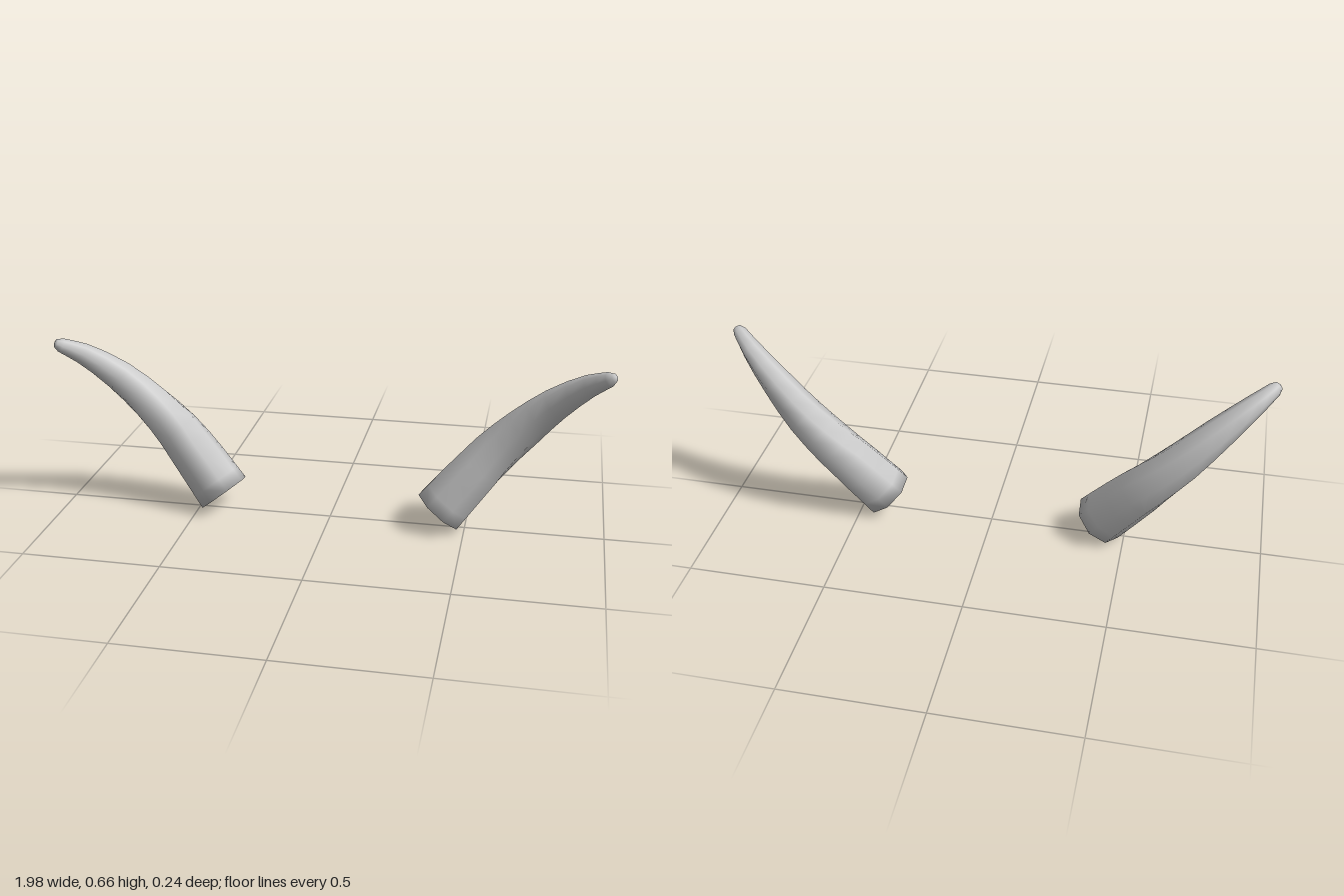
import * as THREE from 'three';

const SIDES = 8;

// Horn centre line (x, y, z) and radius, from base to tip
const STATIONS = [
  [0.405, 0.07, 0.005, 0.1],
  [0.51, 0.2, -0.022, 0.093],
  [0.595, 0.3, -0.038, 0.084],
  [0.69, 0.4, -0.034, 0.073],
  [0.787, 0.5, -0.008, 0.059],
  [0.895, 0.595, 0.045, 0.041],
  [0.967, 0.647, 0.1, 0.026],
];
const STEPS = [0, 0.05, 0.14, 0.23, 0.32, 0.41, 0.5, 0.59, 0.68, 0.77, 0.86, 0.94, 1];

// Curved tapering horn; side is +1 for the left one, -1 for the right one
function hornGeometry(side) {
  const path = new THREE.CatmullRomCurve3(
    STATIONS.map(([x, y, z]) => new THREE.Vector3(side * x, y, z)));
  const positions = [], index = [];
  const up = new THREE.Vector3(0, 1, 0);

  const addRing = (centre, axis, radius) => {
    const u = up.clone().addScaledVector(axis, -up.dot(axis)).normalize();
    const v = axis.clone().cross(u);
    for (let j = 0; j < SIDES; j++) {
      const a = (j / SIDES) * Math.PI * 2;
      const p = centre.clone()
        .addScaledVector(u, Math.cos(a) * radius)
        .addScaledVector(v, Math.sin(a) * radius);
      positions.push(p.x, p.y, p.z);
    }
  };

  for (const t of STEPS) {
    const s = t * (STATIONS.length - 1);
    const k = Math.min(Math.floor(s), STATIONS.length - 2);
    const radius = THREE.MathUtils.lerp(STATIONS[k][3], STATIONS[k + 1][3], s - k);
    addRing(path.getPoint(t), path.getTangent(t), radius);
  }

  // Blunt rounded tip
  const end = path.getPoint(1), axis = path.getTangent(1);
  addRing(end.clone().addScaledVector(axis, 0.02), axis, 0.016);
  const rings = STEPS.length + 1;
  const base = path.getPoint(0), tip = end.clone().addScaledVector(axis, 0.026);
  positions.push(base.x, base.y, base.z, tip.x, tip.y, tip.z);
  const baseId = rings * SIDES, tipId = baseId + 1;

  for (let j = 0; j < SIDES; j++) {
    const n = (j + 1) % SIDES;
    for (let i = 0; i < rings - 1; i++) {
      const a = i * SIDES + j, b = i * SIDES + n;
      index.push(a, b, a + SIDES, b, b + SIDES, a + SIDES);
    }
    index.push(baseId, n, j);
    index.push(tipId, (rings - 1) * SIDES + j, (rings - 1) * SIDES + n);
  }

  const geometry = new THREE.BufferGeometry();
  geometry.setAttribute('position', new THREE.Float32BufferAttribute(positions, 3));
  geometry.setIndex(index);
  geometry.computeVertexNormals();
  return geometry;
}

export function createModel() {
  const group = new THREE.Group();
  group.name = 'hornPair';
  const material = new THREE.MeshStandardMaterial({ color: 0xc8c8c8 });
  material.name = 'light grey horn';
  for (const [name, side] of [['leftHorn', 1], ['rightHorn', -1]]) {
    const horn = new THREE.Mesh(hornGeometry(side), material);
    horn.name = name;
    group.add(horn);
  }
  return group;
}
